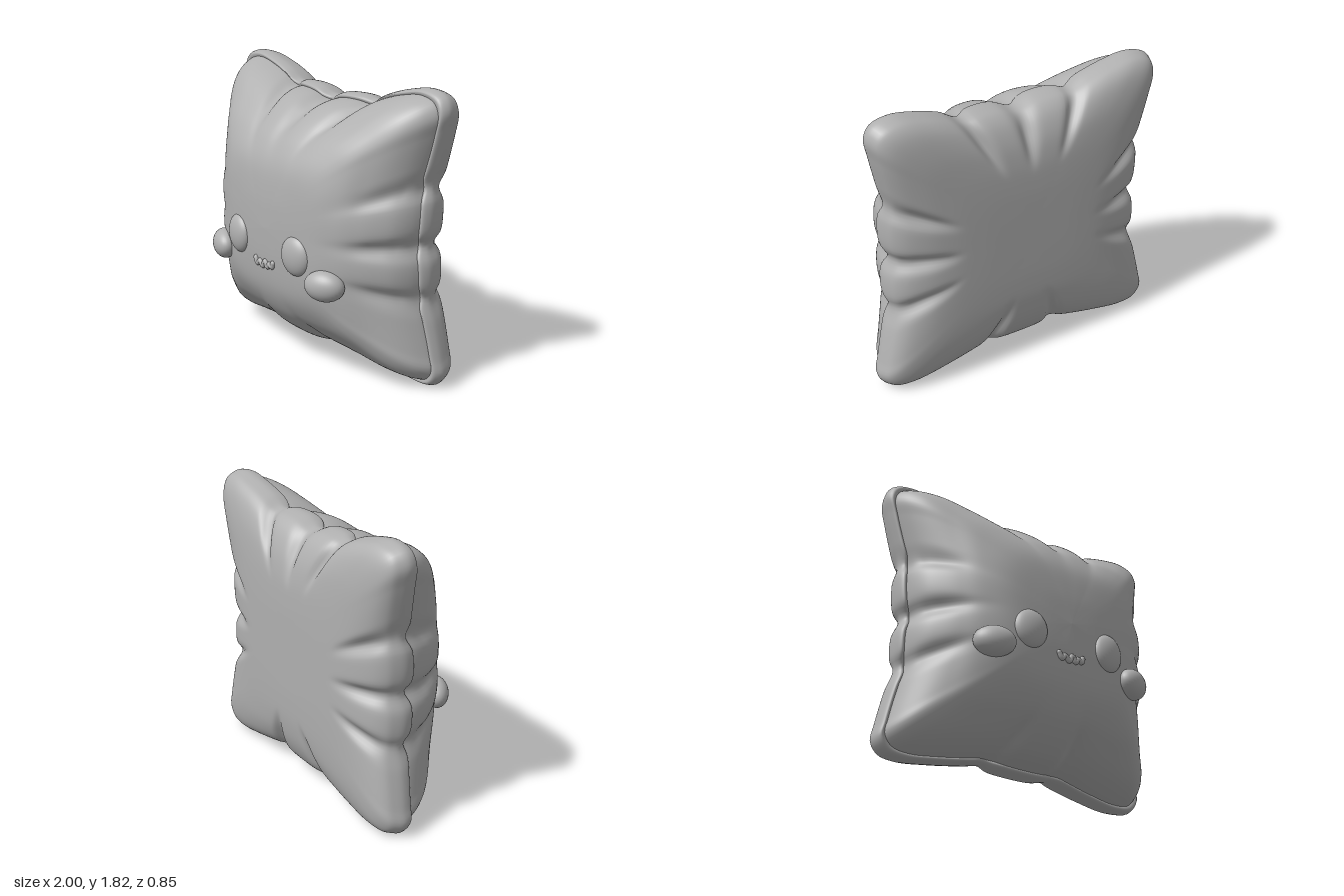
import * as THREE from 'three';

const V3 = (x, y, z) => new THREE.Vector3(x, y, z);
const { lerp, smoothstep } = THREE.MathUtils;

const CENTER_Y = 0.9;
const SEGMENTS = 320;
const BLUR = 22;

// Right half of the pillow outline, from bottom middle to top middle
const HALF = [
  [0, 0.065], [0.16, 0.072], [0.25, 0.094], [0.36, 0.074], [0.6, 0.035], [0.82, 0.01],
  [0.94, 0.03], [0.992, 0.1], [0.975, 0.2], [0.925, 0.42], [0.882, 0.57],
  [0.905, 0.64], [0.905, 0.79], [0.866, 0.9], [0.904, 0.98], [0.912, 1.16], [0.888, 1.26],
  [0.925, 1.4], [0.975, 1.6], [0.997, 1.72], [0.96, 1.795], [0.84, 1.828],
  [0.66, 1.8], [0.5, 1.75], [0.385, 1.694], [0.3, 1.712], [0.13, 1.705], [0, 1.664],
];
// Stitch points where the fabric is pinched
const PINCHES = [[0.25, 0.094], [0.882, 0.57], [0.866, 0.9], [0.888, 1.26], [0.385, 1.694], [0, 1.664]];

function makeOutline() {
  const mirrored = HALF.slice(1, -1).reverse().map(([x, y]) => [-x, y]);
  const curve = new THREE.CatmullRomCurve3(
    [...HALF, ...mirrored].map(([x, y]) => V3(x, y, 0)), true, 'centripetal');
  const points = curve.getSpacedPoints(SEGMENTS).slice(0, SEGMENTS);
  return points.map((p, i) => {
    let pinch = 0;
    for (const [x, y] of PINCHES) {
      const d = Math.hypot(Math.abs(p.x) - x, p.y - y);
      pinch = Math.max(pinch, Math.exp(-((d / 0.055) ** 2)));
    }
    // Smoothed copy of the outline, used away from the rim
    const soft = V3(0, 0, 0);
    for (let j = -BLUR; j <= BLUR; j++) soft.add(points[(i + j + SEGMENTS) % SEGMENTS]);
    soft.divideScalar(2 * BLUR + 1);
    const angle = Math.atan2(p.y - CENTER_Y, p.x);
    return { p, soft, pinch, corner: Math.abs(Math.sin(2 * angle)) ** 3 };
  });
}

// Lofts rings of the outline along a profile of (scale, side value, corner value)
function loft(outline, profile, rings, depth, flip) {
  const curve = new THREE.CatmullRomCurve3(profile.map((p) => V3(...p)), false, 'centripetal');
  const pos = [], index = [];
  for (let i = 0; i <= rings; i++) {
    const k = curve.getPoint(i / rings);
    const sharp = smoothstep(k.x, 0.45, 0.94);
    for (const o of outline) {
      const x = lerp(o.soft.x, o.p.x, sharp), y = lerp(o.soft.y, o.p.y, sharp) - CENTER_Y;
      pos.push(x * k.x, CENTER_Y + y * k.x, depth(o, k.x, lerp(k.y, k.z, o.corner)));
    }
  }
  for (let i = 0; i < rings; i++) {
    for (let j = 0; j < SEGMENTS; j++) {
      const n = (j + 1) % SEGMENTS;
      const a = i * SEGMENTS + j, b = i * SEGMENTS + n;
      const c = b + SEGMENTS, d = a + SEGMENTS;
      if (flip) index.push(a, c, b, a, d, c);
      else index.push(a, b, c, a, c, d);
    }
  }
  const geo = new THREE.BufferGeometry();
  geo.setAttribute('position', new THREE.Float32BufferAttribute(pos, 3));
  geo.setIndex(index);
  geo.computeVertexNormals();
  return geo;
}

export function createModel() {
  const group = new THREE.Group();
  group.name = 'facePillow';
  const fabric = new THREE.MeshStandardMaterial({ color: 0xb0b0b0 });
  fabric.name = 'grey fabric';
  const add = (name, geo) => {
    const mesh = new THREE.Mesh(geo, fabric);
    mesh.name = name;
    group.add(mesh);
    return mesh;
  };
  const outline = makeOutline();

  // Domed front cushion, fuller at the sides than toward the corners
  const frontProfile = [
    [0.965, 0, 0], [0.955, 0.18, 0.08], [0.92, 0.36, 0.22], [0.86, 0.51, 0.38], [0.77, 0.67, 0.55],
    [0.64, 0.83, 0.76], [0.47, 0.94, 0.92], [0.25, 0.985, 0.98], [0, 1, 1],
  ];
  add('frontCushion', loft(outline, frontProfile, 48, (o, s, f) => {
    const base = lerp(-0.15, -0.19, o.corner);
    const fold = o.pinch * 0.025 * smoothstep(s, 0.7, 0.88) * (1 - smoothstep(s, 0.92, 0.965));
    return lerp(base, 0.39, f) - fold;
  }, false));

  // Back cushion with a puffy rim that wraps the front seam
  const backProfile = [
    [0.945, -0.2, -0.22], [0.957, -0.11, -0.165], [0.98, -0.105, -0.16], [1, -0.16, -0.21],
    [0.99, -0.225, -0.265], [0.965, -0.28, -0.315], [0.9, -0.335, -0.358], [0.77, -0.385, -0.393],
    [0.6, -0.413, -0.412], [0.4, -0.423, -0.422], [0.2, -0.425, -0.425], [0, -0.425, -0.425],
  ];
  add('backCushion', loft(outline, backProfile, 60, (o, s, z) =>
    lerp(z, -0.22, o.pinch * 0.3 * smoothstep(s, 0.52, 0.92)), true));

  // Button eyes and puffy cheeks
  for (const [side, sign] of [['left', 1], ['right', -1]]) {
    const eye = add(side + 'Eye', new THREE.SphereGeometry(1, 32, 20));
    eye.scale.set(0.115, 0.125, 0.06);
    eye.position.set(sign * 0.3, 0.79, 0.36);
    eye.rotation.y = sign * 0.15;

    const cheek = add(side + 'Cheek', new THREE.SphereGeometry(1, 32, 20));
    cheek.scale.set(0.13, 0.095, 0.08);
    cheek.position.set(sign * 0.532, 0.657, 0.325);
    cheek.rotation.y = sign * 0.45;
  }

  // Wavy mouth
  const mouthPath = [
    [-0.095, 0.685], [-0.075, 0.655], [-0.05, 0.675], [-0.02, 0.65], [0.005, 0.685],
    [0.03, 0.655], [0.05, 0.675], [0.075, 0.665], [0.085, 0.69],
  ].map(([x, y]) => V3(x, y, 0.38));
  add('mouth', new THREE.TubeGeometry(new THREE.CatmullRomCurve3(mouthPath), 60, 0.018, 10));
  for (const p of [mouthPath[0], mouthPath[8]]) {
    add('mouthEnd', new THREE.SphereGeometry(0.018, 12, 8)).position.copy(p);
  }

  return group;
}
